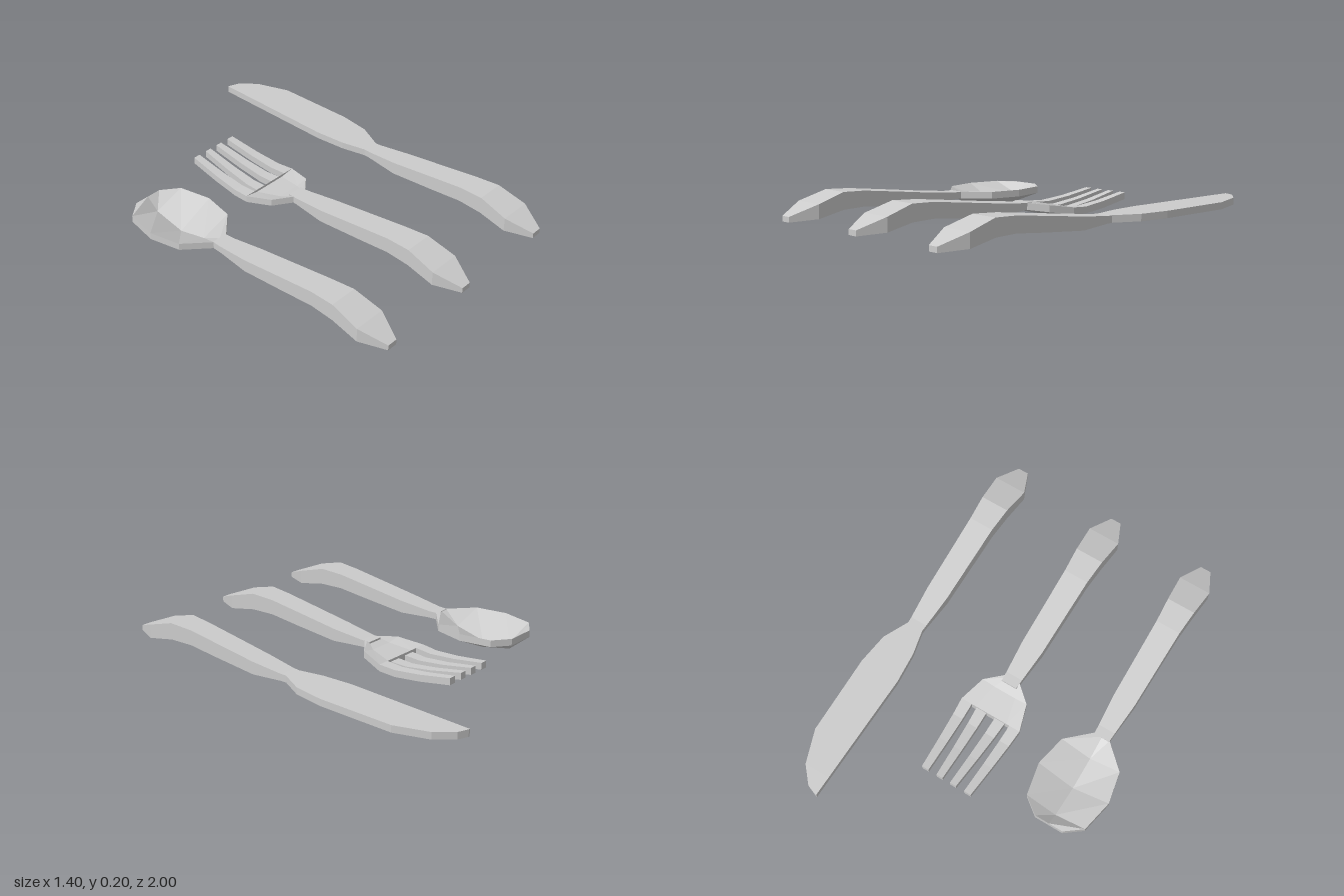
import * as THREE from 'three';

const material = new THREE.MeshStandardMaterial({ color: 0xcccccc, flatShading: true });

// Lofts a solid through sections ordered front (+z) to back.
// Section: [z, columns], columns left to right, each [x, bottom, top].
function loft(name, sections) {
  const pos = [], index = [];
  const n = sections[0][1].length * 2;
  for (const [z, cols] of sections) {
    for (const [x, , top] of cols) pos.push(x, top, z);
    for (const [x, bottom] of [...cols].reverse()) pos.push(x, bottom, z);
  }
  for (let i = 0; i < sections.length - 1; i++) {
    for (let j = 0; j < n; j++) {
      const a = i * n + j, b = i * n + (j + 1) % n;
      index.push(a, b, b + n, a, b + n, a + n);
    }
  }
  const last = (sections.length - 1) * n;
  for (let j = 1; j < n - 1; j++) {
    index.push(0, j + 1, j, last, last + j, last + j + 1);
  }
  const indexed = new THREE.BufferGeometry();
  indexed.setAttribute('position', new THREE.Float32BufferAttribute(pos, 3));
  indexed.setIndex(index);
  const geometry = indexed.toNonIndexed();
  geometry.computeVertexNormals();
  const mesh = new THREE.Mesh(geometry, material);
  mesh.name = name;
  return mesh;
}

const LOW = 0.095, HIGH = 0.13;

// Wavy handle shared by all pieces: z, half width, bottom, top
function handle() {
  return loft('handle', [
    [1, 0.027, 0.08, 0.107],
    [0.87, 0.083, 0.089, 0.16],
    [0.72, 0.073, 0.117, 0.203],
    [0.59, 0.064, 0.119, 0.197],
    [0.42, 0.061, 0.103, 0.177],
    [0.17, 0.057, 0.083, 0.147],
    [0, 0.044, LOW, HIGH],
    [-0.05, 0.041, LOW, HIGH],
  ].map(([z, w, b, t]) => [z, [[-w, b, t], [w, b, t]]]));
}

// Spoon bowl: flat rim with a keel along the middle (z, half width, keel bottom)
function bowl() {
  return loft('bowl', [
    [-0.045, 0.041, LOW],
    [-0.155, 0.16, 0.04],
    [-0.315, 0.193, 0.003],
    [-0.48, 0.16, 0.038],
    [-0.545, 0.075, LOW],
  ].map(([z, w, keel]) => [z, [[-w, LOW, HIGH], [0, keel, keel + 0.035], [w, LOW, HIGH]]]));
}

// Fork palm, slightly dished (z, half width, half width of the lower middle, bottom)
function palm() {
  return loft('palm', [
    [-0.02, 0.043, 0.02, LOW, 0],
    [-0.09, 0.125, 0.06, 0.073, 0.012],
    [-0.222, 0.165, 0.09, 0.053, 0.012],
  ].map(([z, w, m, b, lift]) => [z, [
    [-w, b + lift, b + lift + 0.035], [-m, b, b + 0.035],
    [m, b, b + 0.035], [w, b + lift, b + lift + 0.035],
  ]]));
}

// One tine tapering between root and tip edges, curving up to the tip
function tine(root, tip, lift) {
  const curve = [[-0.222, 0.053], [-0.31, 0.05], [-0.45, 0.068], [-0.62, 0.1]];
  return loft('tine', curve.map(([z, y]) => {
    const t = (-0.222 - z) / 0.398;
    const b = y + lift * (1 - t);
    const edge = (k) => THREE.MathUtils.lerp(root[k], tip[k], t);
    return [z, [[edge(0), b, b + 0.035], [edge(1), b, b + 0.035]]];
  }));
}

// Knife blade: z, left edge, right edge
function blade() {
  return loft('blade', [
    [-0.03, -0.041, 0.042],
    [-0.16, -0.07, 0.105],
    [-0.32, -0.083, 0.126],
    [-0.73, -0.073, 0.123],
    [-0.9, -0.069, 0.063],
    [-0.98, -0.067, -0.008],
    [-1, -0.067, -0.06],
  ].map(([z, l, r]) => [z, [[l, LOW, HIGH], [r, LOW, HIGH]]]));
}

function piece(name, x, ...parts) {
  const group = new THREE.Group();
  group.name = name;
  group.position.x = x;
  group.add(handle(), ...parts);
  return group;
}

export function createModel() {
  const model = new THREE.Group();
  model.name = 'cutlerySet';

  // Tines mirrored about the fork's middle
  const tines = [];
  for (const [root, tip, lift] of [
    [[0.024, 0.08], [0.021, 0.055], 0],
    [[0.107, 0.165], [0.1, 0.137], 0.012],
  ]) {
    tines.push(tine(root, tip, lift));
    tines.push(tine([-root[1], -root[0]], [-tip[1], -tip[0]], lift));
  }

  model.add(
    piece('spoon', -0.508, bowl()),
    piece('fork', 0.015, palm(), ...tines),
    piece('knife', 0.57, blade()),
  );
  return model;
}
